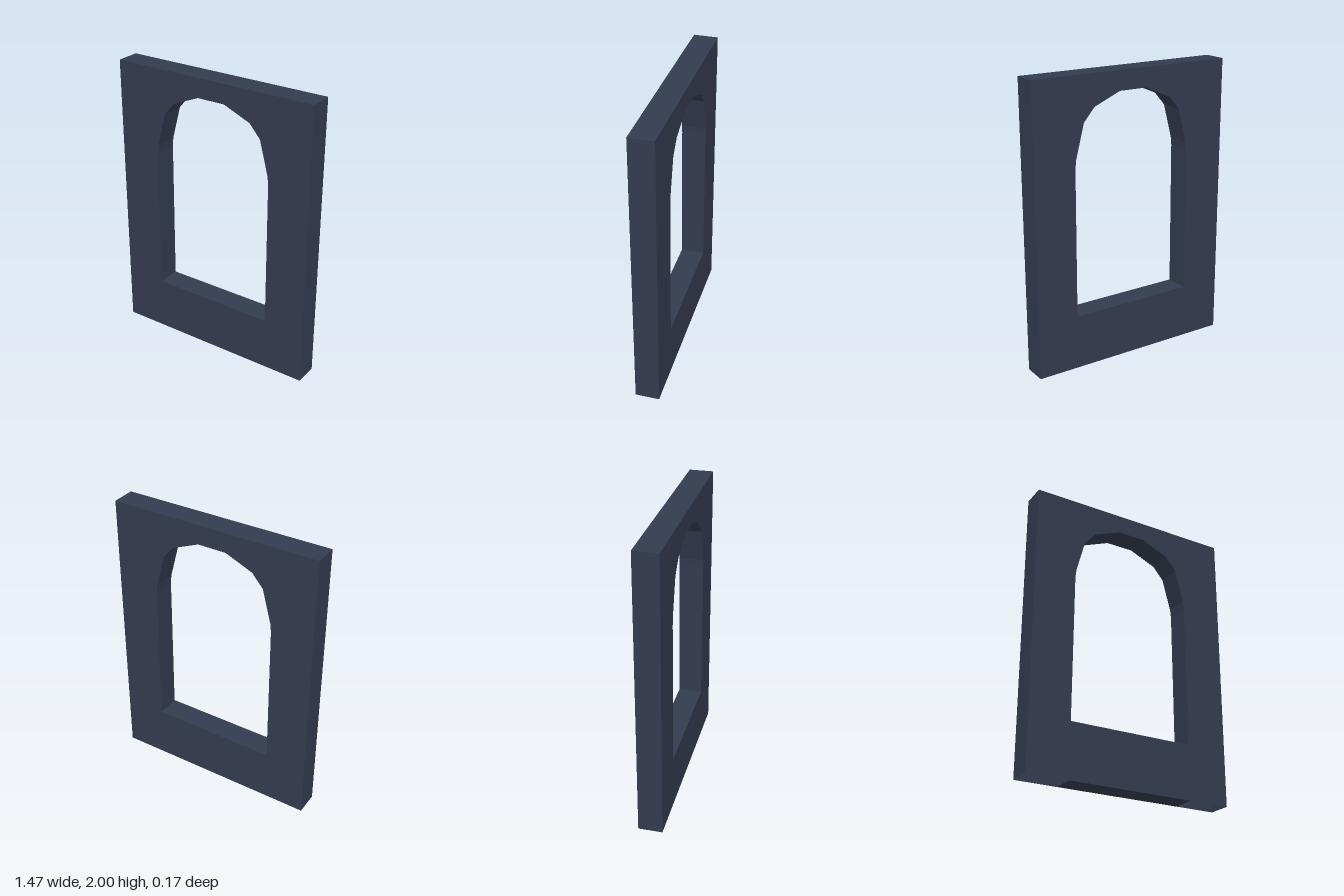
import * as THREE from 'three';

const W = 0.735, H = 2, D = 0.083;

// Wall strip across the thickness, following a path of [x, y] points; it faces right of the path.
function strip(points) {
  const pos = [];
  for (let i = 0; i < points.length - 1; i++) {
    const a = points[i], b = points[i + 1];
    pos.push(...a, -D, ...b, -D, ...b, D, ...a, -D, ...b, D, ...a, D);
  }
  const geo = new THREE.BufferGeometry();
  geo.setAttribute('position', new THREE.Float32BufferAttribute(pos, 3));
  geo.computeVertexNormals();
  return geo;
}

export function createModel() {
  const group = new THREE.Group();
  group.name = 'archedWindowWall';
  const slate = new THREE.MeshStandardMaterial({ color: 0x333b4f, side: THREE.DoubleSide, flatShading: true });
  slate.name = 'darkSlate';

  const add = (name, geo) => {
    const mesh = new THREE.Mesh(geo, slate);
    mesh.name = name;
    group.add(mesh);
    return mesh;
  };

  // Faceted arch opening: left half mirrored to the right
  const half = [[-0.443, 0.38], [-0.438, 1.4], [-0.432, 1.46], [-0.37, 1.695], [-0.292, 1.785], [-0.1, 1.866]];
  const arch = [...half, ...half.map(([x, y]) => [-x, y]).reverse()];

  // Outer rim without its underside
  const rim = [[W, 0], [W, H], [-W, H], [-W, 0]];

  // Front and back faces with the opening cut out
  const toVectors = (pts) => pts.map(([x, y]) => new THREE.Vector2(x, y));
  const face = new THREE.Shape(toVectors(rim));
  face.holes.push(new THREE.Path(toVectors(arch)));
  const faceGeo = new THREE.ShapeGeometry(face);
  add('frontFace', faceGeo).position.z = D;
  const back = add('backFace', faceGeo);
  back.position.z = -D;
  back.rotation.y = Math.PI;

  // Sides and top, opening lining with sill, and the underside below the opening
  add('outerRim', strip(rim));
  add('openingLining', strip([...arch, arch[0]]));
  add('underside', strip([[-0.443, 0], [0.443, 0]]));

  return group;
}
